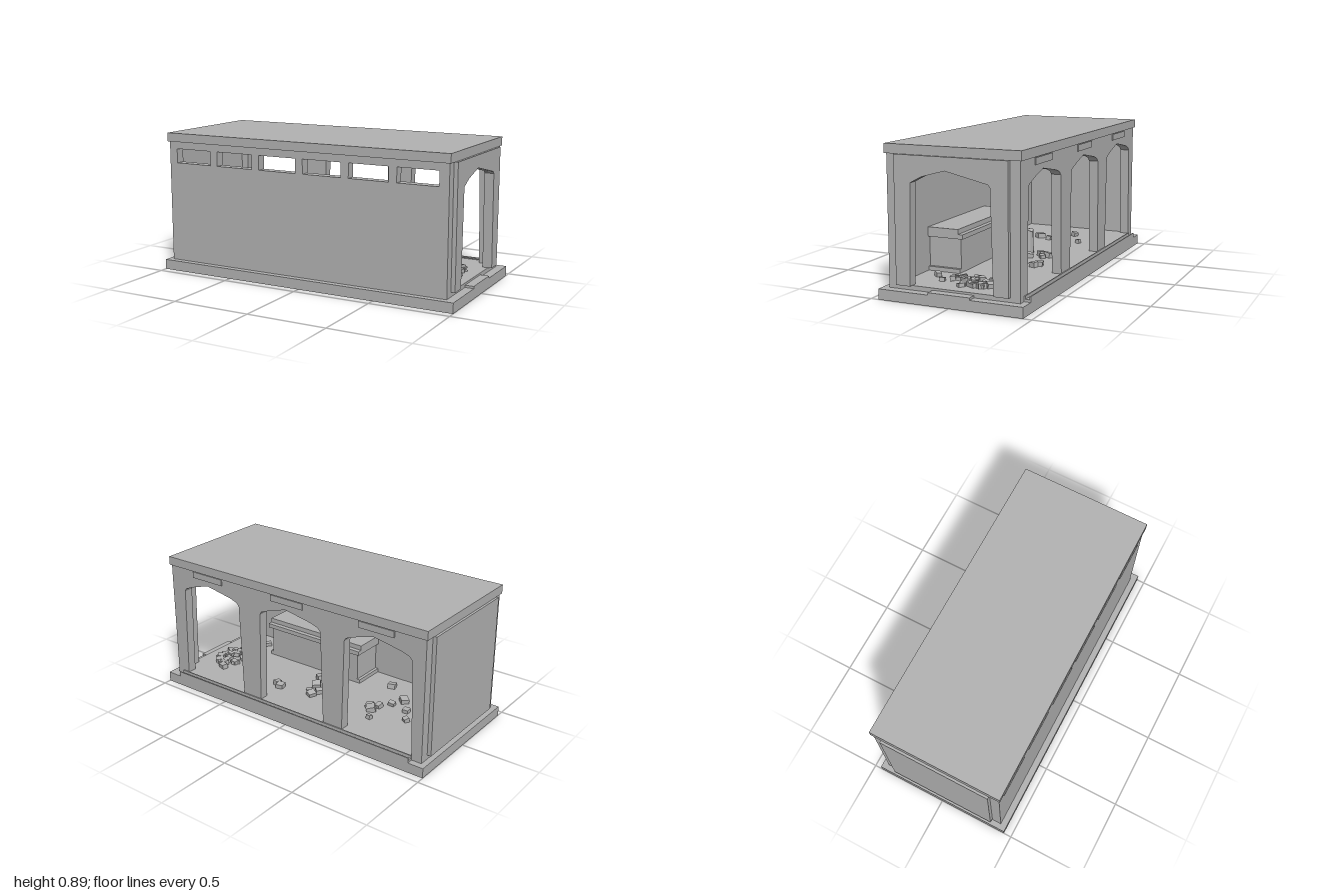
import * as THREE from 'three';

export function createModel() {
  const root = new THREE.Group();
  root.name = 'arcadeBuilding';
  const concrete = new THREE.MeshStandardMaterial({ color: 0xb2b2b2 });
  concrete.name = 'concrete grey';
  concrete.flatShading = true;

  let seed = 7;
  const rnd = () => (seed = (seed * 16807) % 2147483647) / 2147483647;

  const add = (name, geo, parent = root) => {
    const m = new THREE.Mesh(geo, concrete);
    m.name = name;
    parent.add(m);
    return m;
  };
  // box from its lower and upper corners
  const box = (name, x0, x1, y0, y1, z0, z1, parent) => {
    const m = add(name, new THREE.BoxGeometry(x1 - x0, y1 - y0, z1 - z0), parent);
    m.position.set((x0 + x1) / 2, (y0 + y1) / 2, (z0 + z1) / 2);
    return m;
  };
  const poly = (pts, Type = THREE.Shape) => new Type(pts.map(p => new THREE.Vector2(p[0], p[1])));
  const rect = (x0, x1, y0, y1) => [[x0, y0], [x1, y0], [x1, y1], [x0, y1]];
  const slab = (shape, depth) => new THREE.ExtrudeGeometry(shape, { depth, bevelEnabled: false });

  // Base, floor, roof and end step
  box('base', -1, 1, 0, 0.063, -0.45, 0.45);
  box('floor', -0.965, 0.945, 0.063, 0.09, -0.41, 0.41);
  box('roof', -0.975, 0.955, 0.835, 0.89, -0.42, 0.42);
  box('doorStep', 0.945, 1, 0.063, 0.077, -0.13, 0.13);

  // Front wall with a row of high windows
  const front = poly(rect(-0.965, 0.945, 0.09, 0.835));
  for (let i = 0; i < 6; i++) {
    const x = -0.91 + i * 0.3075;
    front.holes.push(poly(rect(x, x + 0.257, 0.70, 0.79), THREE.Path));
  }
  add('frontWall', slab(front, 0.06)).position.z = 0.35;

  // Back wall: outline steps round three uneven arches
  const arch = [[-0.247, 0.09], [-0.228, 0.685], [-0.21, 0.705], [-0.16, 0.722], [0.03, 0.757],
    [0.14, 0.725], [0.22, 0.695], [0.23, 0.675], [0.245, 0.09]];
  const centres = [-0.65, -0.02, 0.61];
  const backPts = [[-0.965, 0.09]];
  centres.forEach(c => arch.forEach(([x, y]) => backPts.push([x + c, y])));
  backPts.push([0.945, 0.09], [0.945, 0.835], [-0.965, 0.835]);
  add('backWall', slab(poly(backPts), 0.06)).position.z = -0.41;

  // Plaques above the arches
  for (const c of [-0.64, 0, 0.635]) box('plaque', c - 0.12, c + 0.12, 0.79, 0.83, -0.417, -0.409);

  // End walls: one arched, one solid, set in from the corners
  const endPts = [[-0.35, 0.09], [-0.26, 0.09], [-0.247, 0.68], [-0.175, 0.718], [-0.03, 0.758],
    [0.23, 0.70], [0.243, 0.685], [0.26, 0.09], [0.35, 0.09], [0.35, 0.835], [-0.35, 0.835]];
  const end = add('archedEndWall', slab(poly(endPts), 0.06));
  end.rotation.y = Math.PI / 2;
  end.position.x = 0.91;
  box('solidEndWall', -0.99, -0.93, 0.09, 0.835, -0.35, 0.35);

  // Gutter channel along the back
  const gutter = new THREE.Group();
  gutter.name = 'gutter';
  root.add(gutter);
  box('gutterBed', -0.9, 0.9, 0.063, 0.077, -0.45, -0.41, gutter);
  box('gutterInnerLip', -0.9, 0.9, 0.077, 0.095, -0.418, -0.411, gutter);
  box('gutterOuterLip', -0.9, 0.9, 0.077, 0.095, -0.45, -0.443, gutter);

  // Ceiling beams
  for (let i = 0; i < 8; i++) {
    const x = -0.8 + i * 0.226;
    box('ceilingBeam', x - 0.015, x + 0.015, 0.802, 0.836, -0.35, 0.35);
  }

  // Counter against the front wall
  const counter = new THREE.Group();
  counter.name = 'counter';
  root.add(counter);
  box('counterPlinth', -0.15, 0.6, 0.09, 0.115, 0.14, 0.35, counter);
  box('counterBody', -0.13, 0.58, 0.115, 0.297, 0.14, 0.35, counter);
  box('counterTop', -0.15, 0.6, 0.297, 0.325, 0.12, 0.35, counter);
  box('counterShelf', -0.15, 0.6, 0.325, 0.355, 0.15, 0.35, counter);

  // Broken stump of a column with a ragged top
  const stumpGeo = new THREE.CylinderGeometry(0.046, 0.05, 0.15, 12, 2);
  const sp = stumpGeo.attributes.position;
  for (let i = 0; i < sp.count; i++) {
    if (sp.getY(i) > 0.07) sp.setY(i, 0.075 + 0.012 * Math.sin(sp.getX(i) * 70 + sp.getZ(i) * 45));
  }
  stumpGeo.computeVertexNormals();
  add('columnStump', stumpGeo).position.set(-0.06, 0.165, 0.005);

  // Rubble: a heap by the open end and loose pieces elsewhere
  const rubble = new THREE.Group();
  rubble.name = 'rubble';
  root.add(rubble);
  const stone = (x, z, s, y = 0.09) => {
    const g = new THREE.BoxGeometry(s * (0.8 + 0.5 * rnd()), s * 0.75, s * (0.8 + 0.5 * rnd()));
    const m = add('stone', g, rubble);
    m.position.set(x, y + s * 0.33, z);
    m.rotation.set((rnd() - 0.5) * 0.4, rnd() * 3, (rnd() - 0.5) * 0.4);
  };
  for (let i = 0; i < 40; i++) {
    const a = rnd() * Math.PI * 2, r = Math.sqrt(rnd());
    stone(0.76 + 0.1 * r * Math.cos(a), 0.19 * r * Math.sin(a), 0.026 + 0.014 * rnd(), 0.09 + (r < 0.5 ? 0.01 : 0));
  }
  for (const [x, z] of [[0.72, -0.22], [0.7, 0.23], [0.27, -0.19], [0.23, -0.21], [0.04, -0.15], [0, -0.18],
    [-0.02, -0.12], [0.09, 0.04], [0.05, -0.06], [-0.38, -0.08], [-0.41, -0.11], [-0.43, -0.05],
    [-0.46, -0.2], [-0.35, 0.22], [-0.52, 0.1], [-0.6, 0], [-0.66, -0.1], [-0.48, 0.02]]) {
    stone(x, z, 0.034 + 0.012 * rnd());
  }
  return root;
}
